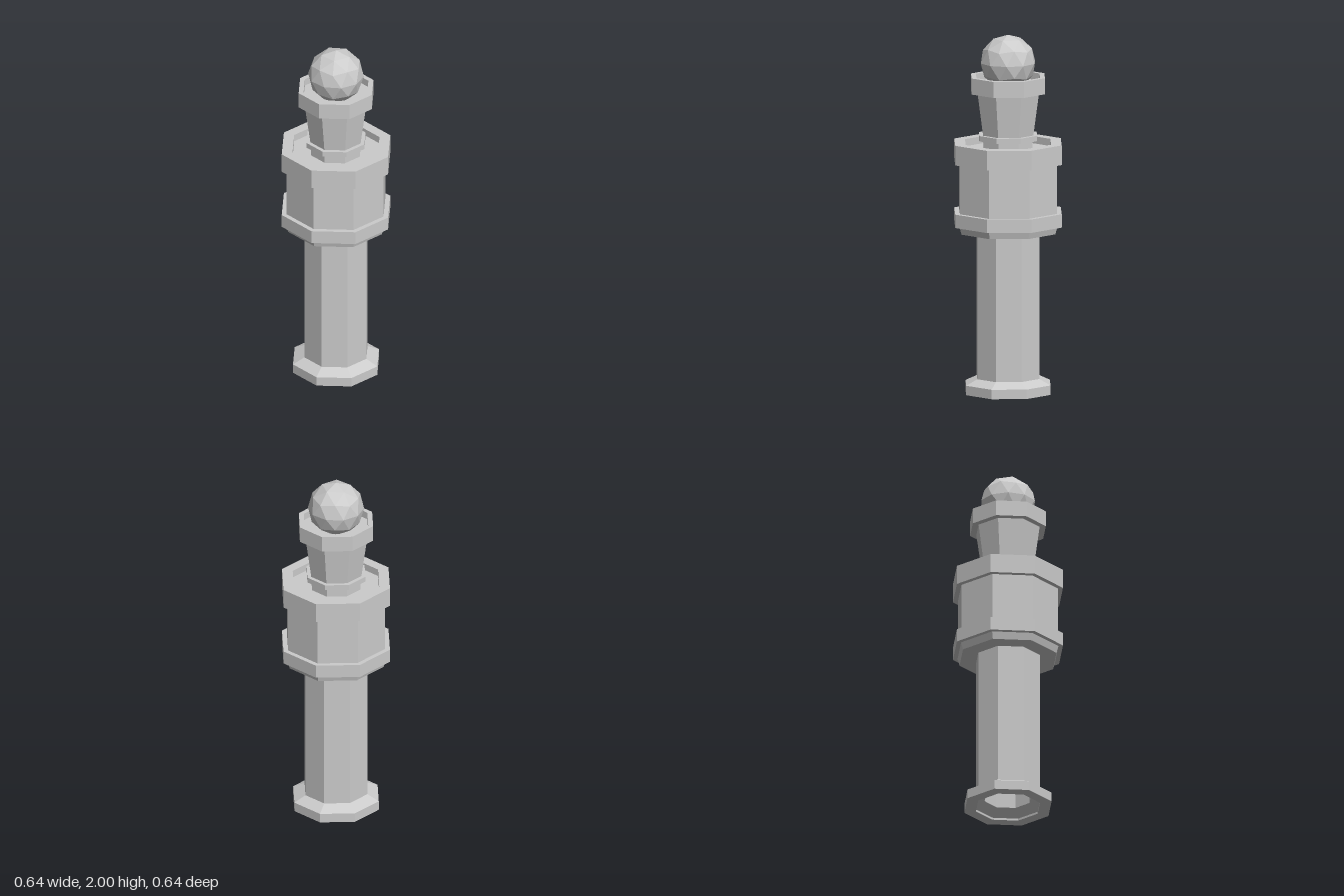
import * as THREE from 'three';

const material = new THREE.MeshStandardMaterial({ color: 0xcccccc, flatShading: true });

// Eight-sided turned part from [radius, height] points, outer wall running upwards
function octagonal(name, profile) {
  const points = profile.map(([r, y]) => new THREE.Vector2(r, y));
  const mesh = new THREE.Mesh(new THREE.LatheGeometry(points, 8), material);
  mesh.name = name;
  return mesh;
}

export function createModel() {
  const group = new THREE.Group();
  group.name = 'octagonalTower';

  // Hollow shaft with a flared foot, open at the bottom
  group.add(octagonal('shaft', [
    [0, 0.9], [0.135, 0.9], [0.135, 0.055], [0.185, 0.012], [0.185, 0],
    [0.252, 0], [0.252, 0.053], [0.185, 0.085], [0.185, 0.9],
  ]));

  // Wide drum between two bands, with a sunken roof
  group.add(octagonal('gallery', [
    [0, 0.9], [0.28, 0.9], [0.292, 0.94], [0.318, 0.94], [0.318, 1.015],
    [0.29, 1.015], [0.29, 1.29], [0.318, 1.29], [0.318, 1.4],
    [0.255, 1.4], [0.255, 1.36], [0, 1.36],
  ]));

  // Small turret that widens towards a rimmed crown
  group.add(octagonal('turret', [
    [0.145, 1.36], [0.145, 1.415], [0.173, 1.415], [0.173, 1.445], [0.15, 1.445],
    [0.183, 1.68], [0.219, 1.68], [0.219, 1.77],
    [0.19, 1.77], [0.19, 1.73], [0, 1.73],
  ]));

  // Faceted ball, turned so that one corner points straight up
  const ball = new THREE.Mesh(new THREE.IcosahedronGeometry(0.155, 1), material);
  ball.geometry.rotateZ(-Math.atan(2 / (1 + Math.sqrt(5))));
  ball.position.y = 1.845;
  ball.name = 'finialBall';
  group.add(ball);

  return group;
}
